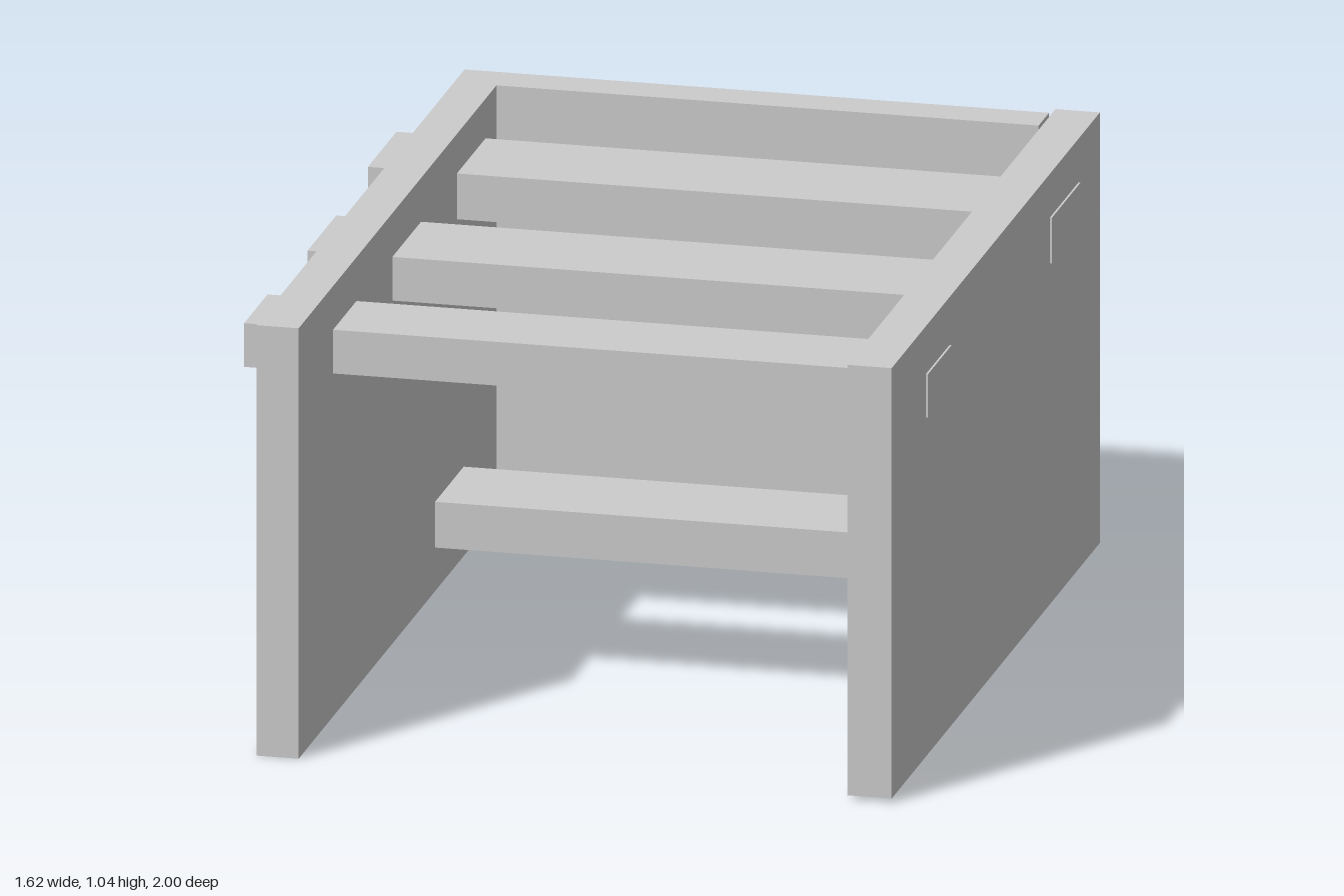
import * as THREE from 'three';

export function createModel() {
  const model = new THREE.Group();
  const material = new THREE.MeshStandardMaterial({ color: 0xcccccc, flatShading: true });

  const add = (name, geometry) => {
    const mesh = new THREE.Mesh(geometry, material);
    mesh.name = name;
    model.add(mesh);
  };

  // Box given by its limits on each axis
  const box = (name, [x0, x1], [y0, y1], [z0, z1]) => {
    const geometry = new THREE.BoxGeometry(x1 - x0, y1 - y0, z1 - z0);
    geometry.translate((x0 + x1) / 2, (y0 + y1) / 2, (z0 + z1) / 2);
    add(name, geometry);
  };

  // Right side and back panel in one L-shaped piece (plan outline as x, -z)
  const plan = new THREE.Shape([
    [-0.7, -1], [-0.6, -1], [-0.6, 0.9], [0.68, 0.9], [0.68, 1], [-0.7, 1],
  ].map(([x, y]) => new THREE.Vector2(x, y)));
  const corner = new THREE.ExtrudeGeometry(plan, { depth: 1.035, bevelEnabled: false });
  corner.rotateX(-Math.PI / 2);
  add('rightSideAndBackPanel', corner);

  // Separate left side, raised slightly
  box('leftSidePanel', [0.695, 0.8], [0.01, 1.045], [-1, 1]);

  // Cross slats, running through both sides
  box('rearSlat', [-0.81, 0.805], [0.83, 0.94], [-0.795, -0.52]);
  box('middleSlat', [-0.8, 0.79], [0.825, 0.93], [-0.175, 0.1]);
  box('frontSlat', [-0.81, 0.805], [0.825, 0.93], [0.445, 0.67]);
  box('lowerSlat', [-0.81, 0.79], [0.105, 0.215], [-0.585, -0.31]);

  return model;
}
